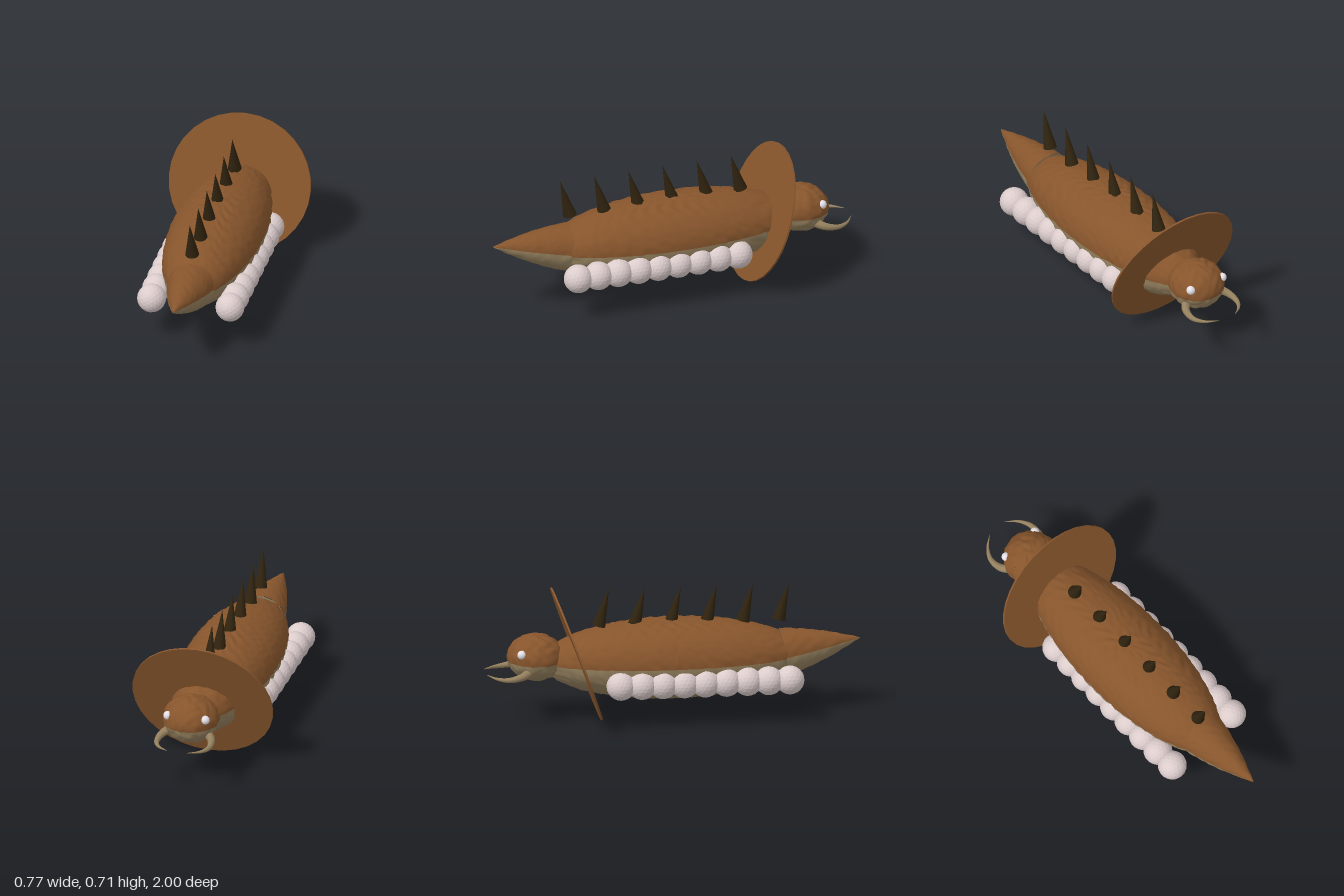
import * as THREE from 'three';

const mat = (name, color, flatShading = false) => {
  const m = new THREE.MeshStandardMaterial({ color, flatShading });
  m.name = name;
  return m;
};

// Gently dents a surface along its normals for a leathery hide
function roughen(geo, amount) {
  const p = geo.attributes.position, n = geo.attributes.normal;
  for (let i = 0; i < p.count; i++) {
    const x = p.getX(i), y = p.getY(i), z = p.getZ(i);
    const d = amount * (Math.sin(95 * x + 3 * Math.sin(41 * z)) * Math.sin(88 * y + 2 * Math.sin(37 * x))
      + Math.sin(83 * z + 2.5 * Math.sin(53 * x + 29 * y))) * 0.6;
    p.setXYZ(i, x + n.getX(i) * d, y + n.getY(i) * d, z + n.getZ(i) * d);
  }
  geo.computeVertexNormals();
  return geo;
}

export function createModel() {
  const model = new THREE.Group();
  const brown = mat('brown hide', 0x87552c);
  const tan = mat('tan underside', 0x94805e);
  const dark = mat('dark spike', 0x30230f);
  const pink = mat('pale pink', 0xdccccc, true);
  const white = mat('eye white', 0xeeeaf0);

  const add = (name, geo, material, parent = model) => {
    const m = new THREE.Mesh(geo, material);
    m.name = name;
    parent.add(m);
    return m;
  };

  // Ellipsoid with a brown upper and a tan lower part
  function twoToneEllipsoid(name, r, pos, split, segs, rows) {
    const g = new THREE.Group();
    g.name = name;
    for (const [part, start, len, m] of [['Back', 0, split, brown], ['Belly', split, Math.PI - split, tan]]) {
      const geo = new THREE.SphereGeometry(1, segs, rows, 0, Math.PI * 2, start, len);
      geo.scale(...r);
      geo.computeVertexNormals();
      add(name + part, roughen(geo, 0.004), m, g);
    }
    g.position.set(...pos);
    model.add(g);
  }
  twoToneEllipsoid('body', [0.247, 0.213, 0.695], [0, 0.318, 0], Math.PI / 2, 120, 32);
  twoToneEllipsoid('head', [0.148, 0.124, 0.15], [0, 0.348, -0.73], 1.7, 64, 24);

  // Tail: slightly bulging cone, split lengthwise, with a flat base
  const tail = new THREE.Group();
  tail.name = 'tail';
  const profile = [];
  for (let i = 0; i <= 24; i++) {
    const t = i / 24;
    profile.push(new THREE.Vector2(0.127 * (1 - t) * (1 + 0.45 * t) + 0.0005, 0.412 * t));
  }
  [['tailBack', Math.PI / 2, brown], ['tailBelly', -Math.PI / 2, tan]].forEach(([name, start, m]) => {
    const geo = new THREE.LatheGeometry(profile, 28, start, Math.PI);
    geo.rotateX(Math.PI / 2);
    add(name, roughen(geo, 0.002), m, tail);
  });
  add('tailBase', new THREE.CircleGeometry(0.127, 48).rotateY(Math.PI), tan, tail);
  tail.position.set(0, 0.325, 0.592);
  tail.rotation.x = -0.15;
  model.add(tail);

  // Tilted round collar
  const collar = add('collar', new THREE.CylinderGeometry(0.385, 0.385, 0.01, 32), brown);
  collar.scale.z = 0.975;
  collar.position.set(0, 0.355, -0.512);
  collar.rotation.x = 1.226;

  // Row of spikes along the back
  for (let i = 0; i < 6; i++) {
    const geo = new THREE.ConeGeometry(0.036, 0.21, 24).translate(0, 0.105, 0);
    const spike = add('spike', geo, dark);
    spike.position.set(0, 0.507, 0.566 - i * 0.192);
    spike.rotation.x = 0.264;
  }

  for (const s of [1, -1]) {
    // Round feet along each side
    for (let i = 0; i < 9; i++) {
      const foot = add('foot', new THREE.IcosahedronGeometry(0.077, 3), pink);
      foot.position.set(s * 0.213, 0.231, 0.597 - i * 0.1125);
    }

    // Eyes
    const eye = add('eye', new THREE.SphereGeometry(0.024, 20, 14), white);
    eye.position.set(s * 0.103, 0.39, -0.817);

    // Curved tapering mandibles
    const path = new THREE.CatmullRomCurve3([
      [0.1, 0.295, -0.77], [0.137, 0.277, -0.82], [0.143, 0.265, -0.89],
      [0.112, 0.266, -0.95], [0.053, 0.274, -0.998],
    ].map(([x, y, z]) => new THREE.Vector3(s * x, y, z)));
    const rows = 28, sides = 14;
    const geo = new THREE.TubeGeometry(path, rows, 0.026, sides);
    const p = geo.attributes.position, v = new THREE.Vector3();
    for (let i = 0; i < p.count; i++) {
      const t = Math.floor(i / (sides + 1)) / rows;
      const c = path.getPointAt(t);
      v.fromBufferAttribute(p, i).sub(c).multiplyScalar(1 - 0.97 * t).add(c);
      p.setXYZ(i, v.x, v.y, v.z);
    }
    geo.computeVertexNormals();
    add('mandible', geo, tan);
  }
  return model;
}
